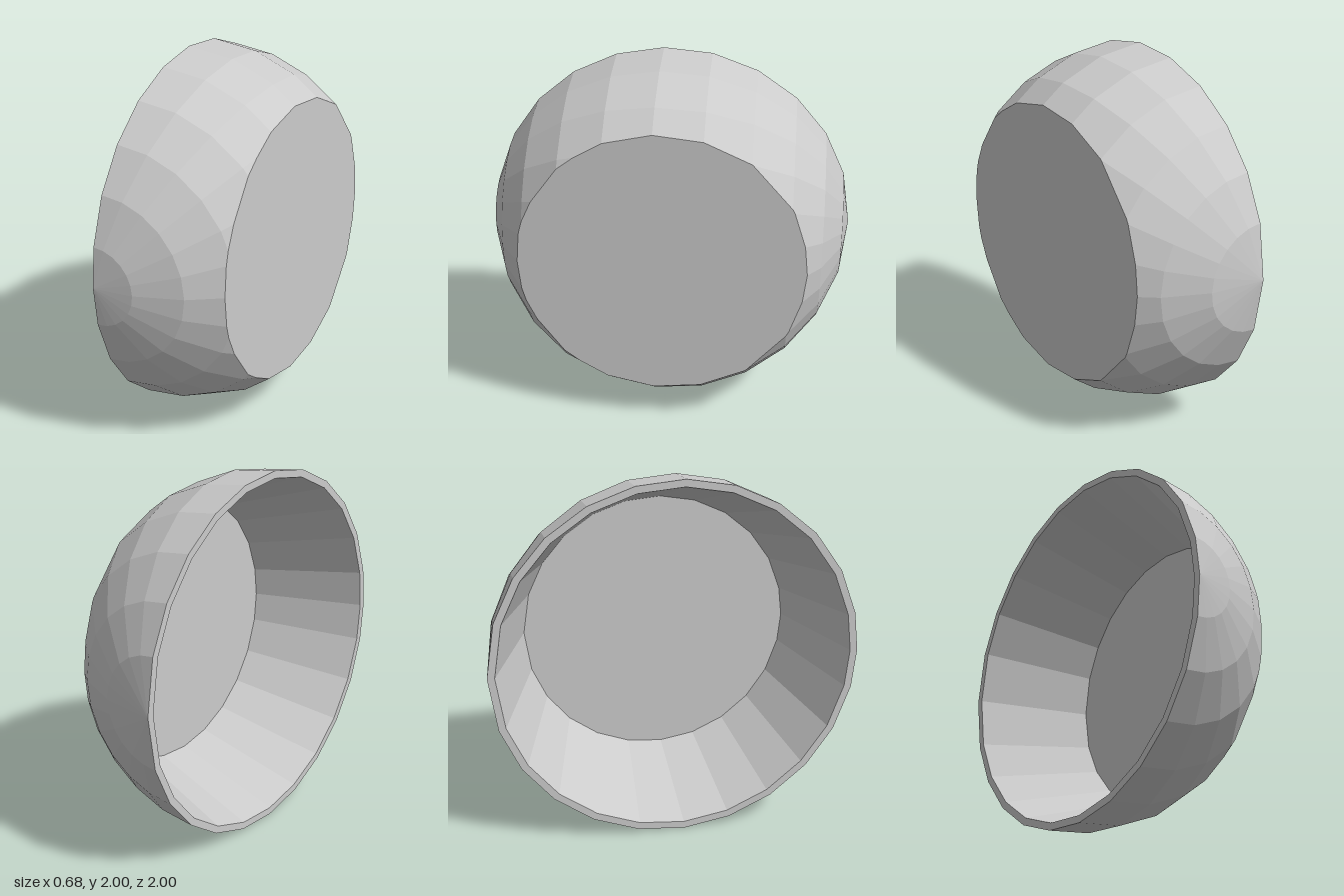
import * as THREE from 'three';

const DEG = Math.PI / 180;
const CUT = 0.625; // distance from the rim plane to the flat base
const FLOOR = 0.61; // depth of the inside floor

// Convex polygons (corner lists) -> flat shaded mesh
function facetMesh(name, polygons) {
  const points = [];
  for (const p of polygons) {
    for (let k = 1; k < p.length - 1; k++) {
      const area = p[k].clone().sub(p[0]).cross(p[k + 1].clone().sub(p[0])).length();
      if (area > 1e-7) points.push(p[0], p[k], p[k + 1]);
    }
  }
  const geometry = new THREE.BufferGeometry().setFromPoints(points);
  geometry.computeVertexNormals();
  const mesh = new THREE.Mesh(geometry, new THREE.MeshStandardMaterial({ color: 0xcccccc, flatShading: true }));
  mesh.name = name;
  return mesh;
}

// Keep the part of a polygon with x below CUT, noting the points on the cut
function clip(polygon, cutPoints) {
  const out = [];
  polygon.forEach((a, i) => {
    const b = polygon[(i + 1) % polygon.length];
    if (a.x <= CUT) out.push(a);
    if ((a.x <= CUT) !== (b.x <= CUT)) {
      const p = a.clone().lerp(b, (CUT - a.x) / (b.x - a.x));
      out.push(p);
      cutPoints.push(p);
    }
  });
  return out;
}

// Strip of quads between two closed loops
const band = (a, b) => a.map((p, i) => {
  const j = (i + 1) % a.length;
  return [p, a[j], b[j], b[i]];
});

export function createModel() {
  const model = new THREE.Group();
  const bowl = new THREE.Group();
  bowl.name = 'bowl';

  // Half sphere with its poles on the rim, front (+z) and back
  const rings = [0];
  for (let t = 12.5; t < 170; t += 15) rings.push(t);
  rings.push(180);
  const at = (theta, phi) => new THREE.Vector3(
    Math.sin(theta * DEG) * Math.sin(phi * DEG),
    Math.sin(theta * DEG) * Math.cos(phi * DEG),
    Math.cos(theta * DEG));

  // Outer shell, cut off by the flat base
  const shell = [];
  const cutPoints = [];
  for (let i = 0; i < rings.length - 1; i++) {
    for (let phi = 0; phi < 180; phi += 15) {
      const quad = [at(rings[i], phi), at(rings[i], phi + 15), at(rings[i + 1], phi + 15), at(rings[i + 1], phi)];
      const kept = clip(quad, cutPoints);
      if (kept.length > 2) {
        // fan from a corner that is not a collapsed pole edge
        shell.push(i === 0 ? [kept[0], kept[2], kept[3]] : kept);
      }
    }
  }
  bowl.add(facetMesh('outerShell', shell));

  // Flat base
  const angle = (p) => Math.atan2(p.y, p.z);
  cutPoints.sort((a, b) => angle(b) - angle(a));
  bowl.add(facetMesh('base', [cutPoints]));

  // Rim, inner wall and inner floor
  const outer = [
    ...rings.map((t) => at(t, 0)),
    ...rings.slice(1, -1).reverse().map((t) => at(t, 180)),
  ];
  const loop = (scale, x) => outer.map((p) => new THREE.Vector3(x, p.y * scale, p.z * scale));
  const inner = loop(0.96, 0);
  const floor = loop(0.75, FLOOR);
  bowl.add(facetMesh('rim', band(outer, inner)));
  bowl.add(facetMesh('innerWall', band(inner, floor)));
  bowl.add(facetMesh('innerFloor', [floor]));

  // Stand the bowl on its edge, turned slightly
  bowl.rotation.y = -0.0325;
  bowl.position.set(-0.31, 1, 0);
  model.add(bowl);
  return model;
}
